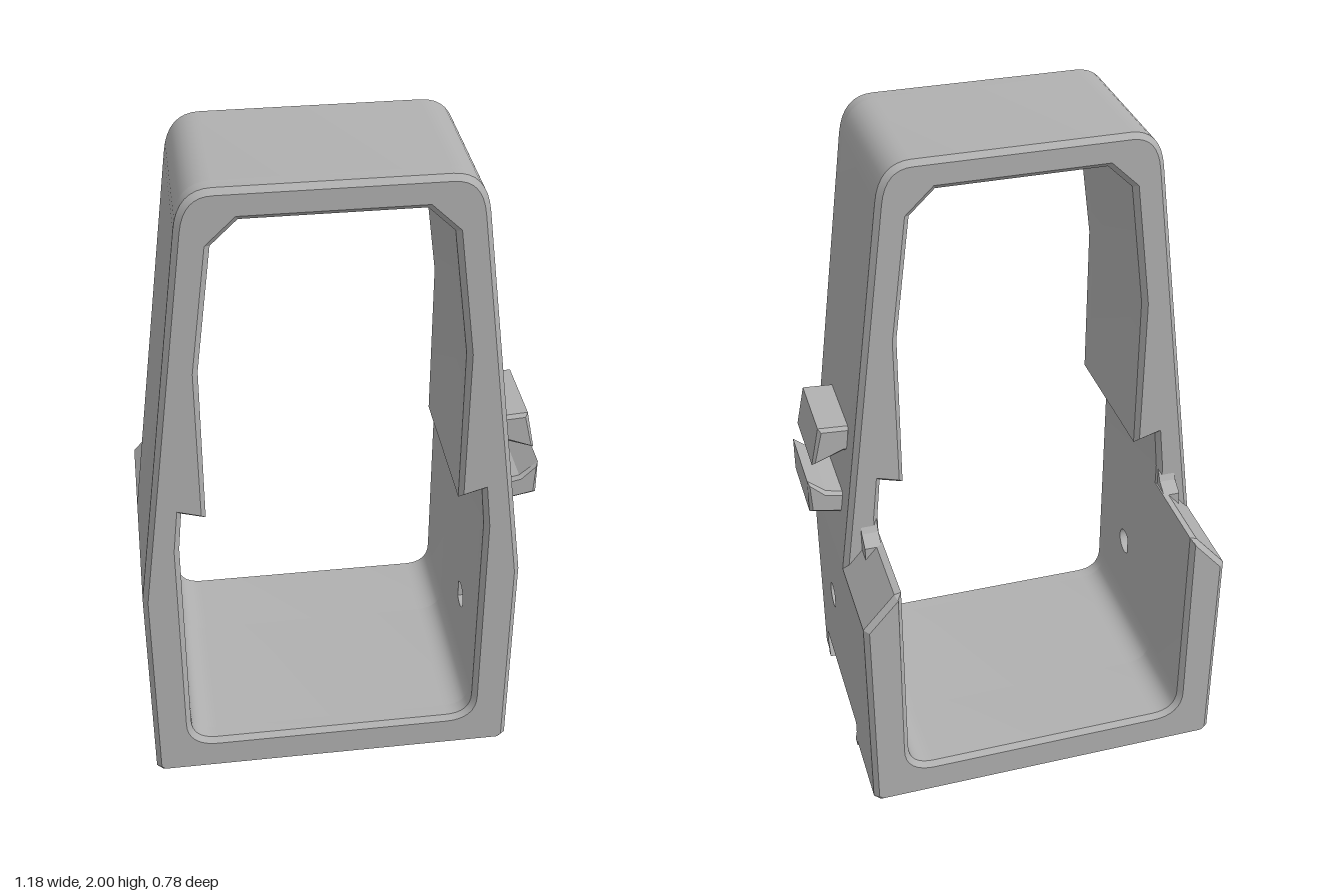
import * as THREE from 'three';
import { toCreasedNormals } from 'three/addons/utils/BufferGeometryUtils.js';

const CX = -0.04;            // the ring is symmetric about this x
const BEVEL = 0.015;
const OUT = 0.555, IN = 0.44; // half widths of the lower walls
const SLOT_Z0 = -0.13, SLOT_Z1 = 0.335;

export function createModel() {
  const group = new THREE.Group();
  const grey = new THREE.MeshStandardMaterial({ color: 0xb0b0b0 });

  const add = (name, geometry) => {
    const mesh = new THREE.Mesh(toCreasedNormals(geometry, 0.45), grey);
    mesh.name = name;
    group.add(mesh);
    return mesh;
  };
  const poly = (pts) => new THREE.Shape(pts.map(([x, y]) => new THREE.Vector2(x, y)));

  // Extrusion along z; a bevel is kept only on the chosen ends
  const slab = (shape, z0, z1, backBevel = 0, frontBevel = 0) => {
    const depth = z1 - z0 - backBevel - frontBevel;
    const b = Math.max(backBevel, frontBevel);
    const g = new THREE.ExtrudeGeometry(shape, {
      depth, curveSegments: 8, bevelEnabled: b > 0, bevelSegments: 1,
      bevelThickness: b, bevelSize: b, bevelOffset: -b,
    });
    const p = g.attributes.position;
    for (let i = 0; i < p.count; i++) {
      p.setZ(i, THREE.MathUtils.clamp(p.getZ(i), -backBevel, depth + frontBevel));
    }
    return g.translate(0, 0, z0 + backBevel);
  };
  // Extrusion along x of a shape drawn in (z, y)
  const alongX = (shape, x0, x1) => new THREE.ExtrudeGeometry(shape, {
    depth: x1 - x0, bevelEnabled: false, curveSegments: 10,
  }).rotateY(-Math.PI / 2).translate(x1, 0, 0);

  // Outline pieces shared by the ring sections
  const outerOver = (s) => { // right side up, over the top, left side down
    s.lineTo(CX + OUT, 0.7);
    s.lineTo(CX + 0.402, 1.89);
    s.quadraticCurveTo(CX + 0.388, 2, CX + 0.3, 2);
    s.lineTo(CX - 0.3, 2);
    s.quadraticCurveTo(CX - 0.388, 2, CX - 0.402, 1.89);
    s.lineTo(CX - OUT, 0.7);
  };
  const innerOver = (s) => { // left side up, under the top, right side down
    const half = [[IN, 0.88], [0.428, 1.005], [0.36, 0.985], [0.36, 1.47], [0.313, 1.84], [0.24, 1.91]];
    half.forEach(([x, y]) => s.lineTo(CX - x, y));
    [...half].reverse().forEach(([x, y]) => s.lineTo(CX + x, y));
  };
  const innerFloor = (s) => { // right wall, rounded corners and floor, left wall
    s.lineTo(CX + IN, 0.2);
    s.quadraticCurveTo(CX + IN, 0.12, CX + 0.36, 0.12);
    s.lineTo(CX - 0.36, 0.12);
    s.quadraticCurveTo(CX - IN, 0.12, CX - IN, 0.2);
  };
  const startBottom = (s) => {
    s.moveTo(CX - OUT, 0.02);
    s.lineTo(CX - OUT + 0.02, 0);
  };
  const endBottom = (s) => {
    s.lineTo(CX + OUT - 0.02, 0);
    s.lineTo(CX + OUT, 0.02);
  };

  // Closed ring at the front
  const ring = new THREE.Shape();
  startBottom(ring);
  endBottom(ring);
  outerOver(ring);
  const opening = new THREE.Path();
  opening.moveTo(CX - IN, 0.2);
  innerOver(opening);
  innerFloor(opening);
  ring.holes.push(opening);
  add('frontRing', slab(ring, SLOT_Z1, 0.39, 0, BEVEL));

  // Upper arch behind the ring
  const arch = new THREE.Shape();
  arch.moveTo(CX + IN, 0.65);
  arch.lineTo(CX + OUT, 0.65);
  outerOver(arch);
  arch.lineTo(CX - OUT, 0.65);
  arch.lineTo(CX - IN, 0.65);
  innerOver(arch);
  add('upperArch', slab(arch, -0.1, SLOT_Z1, BEVEL, 0));

  // Floor with the recess open towards the left side
  const floor = new THREE.Shape();
  startBottom(floor);
  floor.lineTo(-0.33, 0);
  floor.lineTo(-0.33, 0.1);
  floor.lineTo(CX + OUT, 0.1);
  floor.lineTo(CX + OUT, 0.2);
  innerFloor(floor);
  floor.lineTo(CX - OUT, 0.2);
  add('slottedFloor', slab(floor, SLOT_Z0, SLOT_Z1));

  // Dovetail lips around the recess
  add('frontSlotLip', alongX(poly([[SLOT_Z1, 0], [SLOT_Z1, 0.06], [0.31, 0]]), -0.33, CX + OUT));
  add('backSlotLip', alongX(poly([[SLOT_Z0, 0], [-0.1, 0], [SLOT_Z0, 0.06]]), -0.33, CX + OUT));
  add('endSlotLip', slab(poly([[-0.33, 0], [-0.305, 0], [-0.33, 0.06]]), SLOT_Z0, SLOT_Z1));

  // Back tray with sloping wall tops
  const tray = new THREE.Shape();
  startBottom(tray);
  endBottom(tray);
  tray.lineTo(CX + OUT, 0.7);
  tray.lineTo(CX + 0.46, 0.81);
  tray.lineTo(CX + IN, 0.815);
  innerFloor(tray);
  tray.lineTo(CX - IN, 0.815);
  tray.lineTo(CX - 0.46, 0.81);
  tray.lineTo(CX - OUT, 0.7);
  add('backTray', slab(tray, -0.39, SLOT_Z0, BEVEL, 0));

  for (const [side, s] of [['left', 1], ['right', -1]]) {
    const x0 = s > 0 ? CX + IN : CX - OUT;
    // Lower wall with a teardrop pin hole
    const wall = poly([[SLOT_Z0, 0.2], [SLOT_Z1, 0.2], [SLOT_Z1, 0.7], [SLOT_Z0, 0.7]]);
    const hole = new THREE.Path();
    hole.moveTo(0.085, 0.412);
    hole.absarc(0.143, 0.412, 0.041, Math.PI * 0.75, -Math.PI * 0.75, true);
    hole.closePath();
    wall.holes.push(hole);
    add(side + 'Wall', alongX(wall, x0, x0 + OUT - IN));

    // Joint between the arch and the tray wall
    const joint = [[IN, 0.64], [OUT, 0.64], [OUT, 0.7], [0.46, 0.81], [IN, 0.815]]
      .map(([x, y]) => [CX + s * x, y]);
    add(side + 'Joint', slab(poly(joint), SLOT_Z0, -0.08));
    const webX = CX + s * 0.47;
    add(side + 'Web', alongX(poly([[-0.09, 0.75], [-0.09, 0.87], [-0.11, 0.835], [-0.15, 0.81], [-0.15, 0.75]]),
      webX - 0.025, webX + 0.025));
  }

  // Pair of clip jaws on the left side
  const upperJaw = [[0.45, 1.07], [0.475, 1.07], [0.57, 1.035], [0.545, 1.158], [0.45, 1.152]];
  const lowerJaw = [[0.47, 0.852], [0.5, 0.852], [0.588, 0.87], [0.588, 0.98], [0.535, 0.935], [0.47, 0.92]];
  add('upperClipJaw', slab(poly(upperJaw), -0.01, 0.24, 0.01, 0.01));
  add('lowerClipJaw', slab(poly(lowerJaw), -0.01, 0.24, 0.01, 0.01));

  return group;
}
